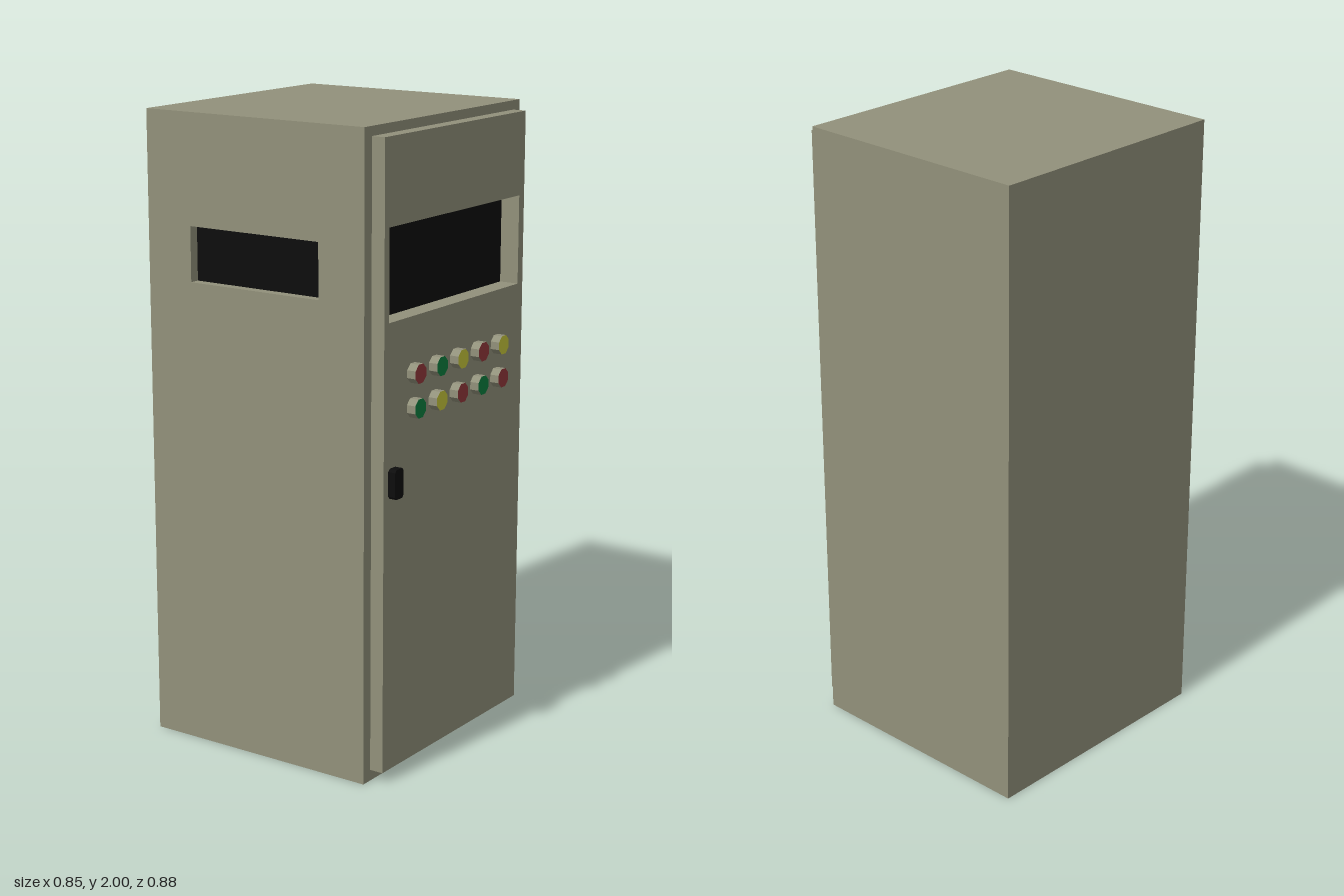
import * as THREE from 'three';
import { mergeGeometries } from 'three/addons/utils/BufferGeometryUtils.js';

const flat = (name, color) => Object.assign(new THREE.MeshStandardMaterial({ color }), { name });

// Cabinet extents
const X = 0.426, H = 2, BACK = -0.438, FRONT = 0.362, DOOR = 0.407;
const DEPTH = FRONT - BACK, MID_Z = (FRONT + BACK) / 2;
// Openings: centre x, centre y, width, height (in the plane of their own face)
const display = { x: -0.002, y: 1.57, w: 0.724, h: 0.28 };
const sideSlot = { x: 0, y: 1.57, w: 0.475, h: 0.172 };
const DISPLAY_Z = 0.343, SLOT_DEPTH = 0.032;

function rect(x, y, w, h, Type = THREE.Shape) {
  const r = new Type();
  r.moveTo(x - w / 2, y - h / 2);
  r.lineTo(x + w / 2, y - h / 2);
  r.lineTo(x + w / 2, y + h / 2);
  r.lineTo(x - w / 2, y + h / 2);
  r.closePath();
  return r;
}

function holedShape(x, y, w, h, o) {
  const s = rect(x, y, w, h);
  s.holes.push(rect(o.x, o.y, o.w, o.h, THREE.Path));
  return s;
}

// Four inward-facing walls of a recess running from z = 0 back to z = -depth
function recessWalls(o, depth) {
  const walls = [];
  for (const s of [-1, 1]) {
    walls.push(new THREE.PlaneGeometry(depth, o.h).rotateY(-s * Math.PI / 2)
      .translate(o.x + s * o.w / 2, o.y, -depth / 2));
    walls.push(new THREE.PlaneGeometry(o.w, depth).rotateX(s * Math.PI / 2)
      .translate(o.x, o.y + s * o.h / 2, -depth / 2));
  }
  return walls;
}

// Closed cabinet shell with a recess in the front and one in the right side
function cabinetGeometry() {
  const front = [new THREE.ShapeGeometry(holedShape(0, H / 2, 2 * X, H, display)),
    ...recessWalls(display, FRONT - DISPLAY_Z)];
  front.forEach(g => g.translate(0, 0, FRONT));

  const slot = { ...sideSlot, x: -0.038 - MID_Z };
  const side = [new THREE.ShapeGeometry(holedShape(0, H / 2, DEPTH, H, slot)),
    ...recessWalls(slot, SLOT_DEPTH)];
  side.forEach(g => g.rotateY(-Math.PI / 2).translate(-X, 0, MID_Z));

  return mergeGeometries([
    ...front, ...side,
    new THREE.PlaneGeometry(DEPTH, H).rotateY(Math.PI / 2).translate(X, H / 2, MID_Z),
    new THREE.PlaneGeometry(2 * X, H).rotateY(Math.PI).translate(0, H / 2, BACK),
    new THREE.PlaneGeometry(2 * X, DEPTH).rotateX(-Math.PI / 2).translate(0, H, MID_Z),
    new THREE.PlaneGeometry(2 * X, DEPTH).rotateX(Math.PI / 2).translate(0, 0, MID_Z),
  ].map(g => g.index ? g.toNonIndexed() : g));
}

export function createModel() {
  const group = new THREE.Group();
  group.name = 'controlCabinet';
  const paint = flat('cabinetPaint', 0x92917b);
  const black = flat('black', 0x0d0d0d);
  const lamp = {
    R: flat('redLamp', 0x96383c),
    G: flat('greenLamp', 0x0a8040),
    Y: flat('yellowLamp', 0xc8c83c),
  };

  const add = (name, geometry, material, x = 0, y = 0, z = 0) => {
    const mesh = new THREE.Mesh(geometry, material);
    mesh.name = name;
    mesh.position.set(x, y, z);
    group.add(mesh);
    return mesh;
  };

  add('cabinet', cabinetGeometry(), paint);

  // Raised door with the display opening cut through
  const door = holedShape(0, 1.003, 0.778, 1.936, display);
  add('door', new THREE.ExtrudeGeometry(door, { depth: DOOR - FRONT, bevelEnabled: false }),
    paint, 0, 0, FRONT);

  // Dark panes at the bottom of both recesses
  add('displayScreen', new THREE.PlaneGeometry(display.w, display.h), black,
    display.x, display.y, DISPLAY_Z);
  add('sideWindow', new THREE.PlaneGeometry(sideSlot.w, sideSlot.h).rotateY(-Math.PI / 2), black,
    -X + SLOT_DEPTH, sideSlot.y, -0.038);

  // Two rows of eight-sided push buttons with coloured faces
  const buttonGeometry = new THREE.CylinderGeometry(0.0314, 0.0314, 0.03, 8)
    .rotateY(Math.PI / 8).rotateX(Math.PI / 2).toNonIndexed();
  buttonGeometry.computeVertexNormals();
  ['RGYRY', 'GYRGR'].forEach((row, r) => [...row].forEach((c, i) => {
    add(`button${r + 1}_${i + 1}`, buttonGeometry, [paint, lamp[c], paint],
      -0.239 + i * 0.118, 1.26 - r * 0.106, DOOR + 0.015);
  }));

  // Door handle with clipped corners
  const w = 0.0225, h = 0.046, c = 0.008;
  const handle = new THREE.Shape([
    [w - c, -h], [w, c - h], [w, h - c], [w - c, h],
    [c - w, h], [-w, h - c], [-w, c - h], [c - w, -h],
  ].map(([x, y]) => new THREE.Vector2(x, y)));
  add('doorHandle', new THREE.ExtrudeGeometry(handle, { depth: 0.025, bevelEnabled: false }),
    black, -0.343, 0.945, DOOR);

  return group;
}
